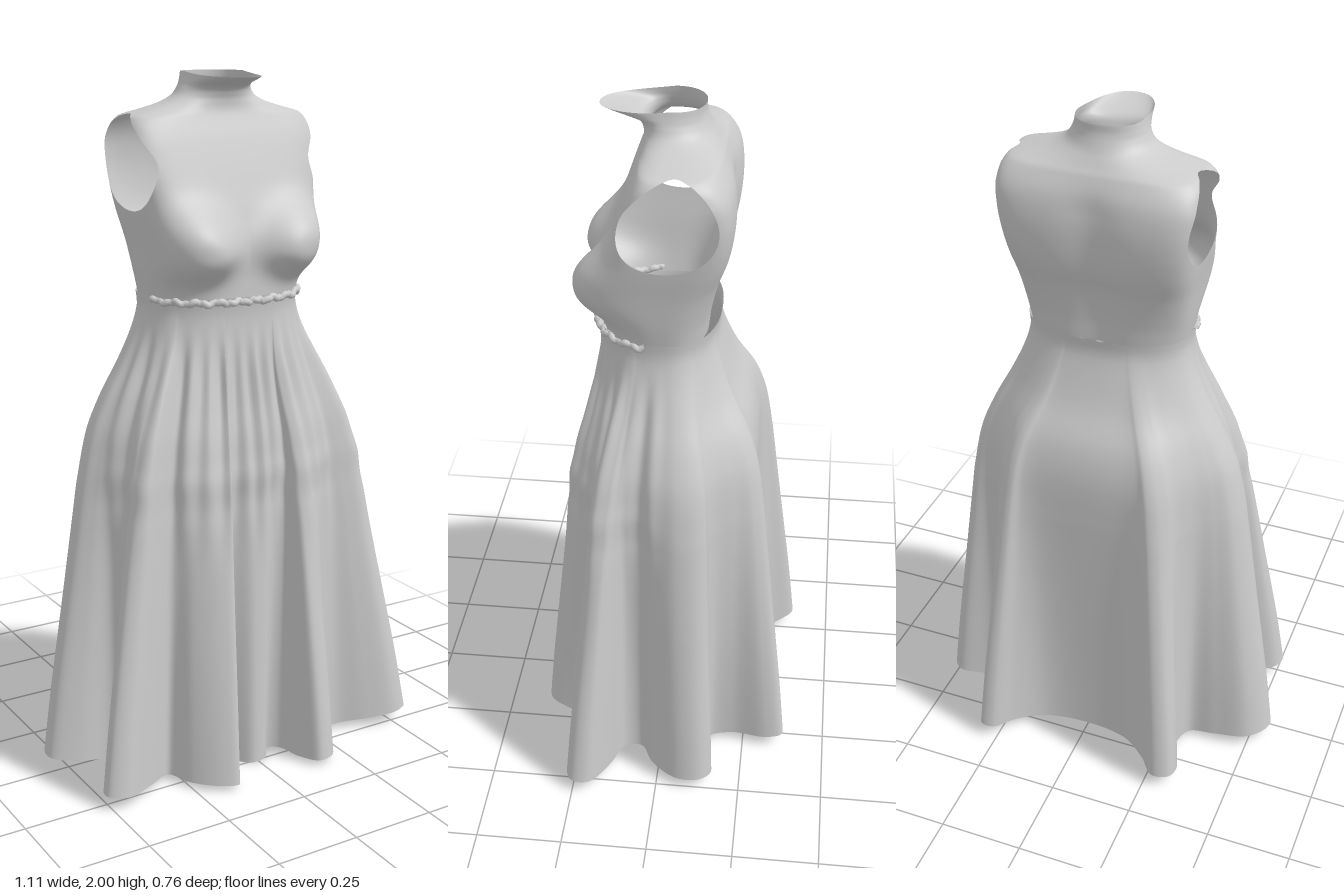
import * as THREE from 'three';

const material = new THREE.MeshStandardMaterial({ color: 0xcccccc, side: THREE.DoubleSide });
const { smoothstep, lerp } = THREE.MathUtils;

// Smooth interpolation through rows of [y, value, value, ...]
function sample(rows, y) {
  const last = rows.length - 1;
  if (y <= rows[0][0]) return rows[0].slice(1);
  if (y >= rows[last][0]) return rows[last].slice(1);
  let i = 0;
  while (y > rows[i + 1][0]) i++;
  const slope = (k, c) => {
    const p = rows[Math.max(k - 1, 0)], q = rows[Math.min(k + 1, last)];
    return (q[c] - p[c]) / (q[0] - p[0]);
  };
  const h = rows[i + 1][0] - rows[i][0], t = (y - rows[i][0]) / h, s = 1 - t;
  return rows[i].slice(1).map((v, k) => {
    const c = k + 1;
    return v * (1 + 2 * t) * s * s + rows[i + 1][c] * t * t * (3 - 2 * t)
      + h * (slope(i, c) * t * s * s - slope(i + 1, c) * t * t * s);
  });
}

// Radius of a rounded section: half width a, front depth f, back depth b, squareness n
function radius(angle, a, f, b, n) {
  const s = Math.abs(Math.sin(angle)) / a, c = Math.cos(angle);
  return (s ** n + (Math.abs(c) / (c > 0 ? f : b)) ** n) ** (-1 / n);
}

// Closed rings joined into a smooth skin; keep() can leave out faces
function skin(name, cols, rows, point, keep = () => true, adjust = (p) => p) {
  const raw = [], index = [];
  for (let j = 0; j <= rows; j++)
    for (let i = 0; i < cols; i++) raw.push(point(i / cols, j / rows));
  const face = (...f) => { if (keep(f.map((k) => raw[k]))) index.push(...f); };
  for (let j = 0; j < rows; j++) {
    for (let i = 0; i < cols; i++) {
      const k = (i + 1) % cols, a = j * cols + i, b = j * cols + k;
      face(a, b, b + cols);
      face(a, b + cols, a + cols);
    }
  }
  const g = new THREE.BufferGeometry().setFromPoints(raw.map((p) => adjust(p.clone())));
  g.setIndex(index);
  g.computeVertexNormals();
  const mesh = new THREE.Mesh(g, material);
  mesh.name = name;
  return mesh;
}

// y, half width, front, back, squareness
const BODY = [
  [1.38, 0.23, 0.19, 0.115, 2.5], [1.45, 0.241, 0.19, 0.122, 2.8], [1.54, 0.252, 0.192, 0.14, 3.6],
  [1.62, 0.264, 0.172, 0.165, 4.6], [1.7, 0.273, 0.146, 0.178, 5.8], [1.77, 0.282, 0.122, 0.18, 6],
  [1.83, 0.285, 0.1, 0.17, 5.5], [1.883, 0.266, 0.078, 0.144, 3.8], [1.9, 0.212, 0.073, 0.131, 2.8],
  [1.916, 0.158, 0.072, 0.12, 2.4], [1.935, 0.123, 0.075, 0.108, 2.1], [1.96, 0.105, 0.092, 0.097, 2],
  [1.98, 0.097, 0.14, 0.091, 2.1], [2, 0.092, 0.19, 0.09, 2.2],
];

function bodyPoint(u, v) {
  const y = 1.38 + 0.62 * (1 - (1 - v) ** 1.5);
  const angle = u * Math.PI * 2, c = Math.cos(angle);
  const r = radius(angle, ...sample(BODY, y));
  const x = r * Math.sin(angle);
  let z = r * c;
  // Rounded bust, fuller below than above
  const dy = (y - 1.525) / (y > 1.525 ? 0.08 : 0.055), dx = (Math.abs(x) - 0.165) / 0.078;
  z += 0.072 * Math.exp(-(((dx * dx + dy * dy) / 2) ** 1.5)) * smoothstep(c, -0.1, 0.45);
  // Hollow along the spine, fading out below the nape
  z += 0.014 * Math.exp(-((x / 0.07) ** 2)) * smoothstep(-c, 0, 0.4) * (1 - smoothstep(y, 1.78, 1.9));
  // Collar dips slightly towards its front lip
  const dip = 0.012 * smoothstep(y, 1.96, 2) * Math.max(0, c);
  return new THREE.Vector3(x, y - dip, z);
}

// Egg-shaped armholes in side elevation, wider at the bottom
const holeCentre = (v) => -0.015 - 0.0156 * v;
const holeWidth = (v) => 0.13 * (1 - 0.2 * v);
function armhole(p) {
  const v = (p.y - 1.76) / 0.13, u = (p.z - holeCentre(v)) / holeWidth(v);
  return { u, v, q: Math.abs(p.x) > 0.14 ? Math.hypot(u, v) : 9 };
}
// Moves points just inside an armhole out to its rim, staying on the body
function trimToArmhole(p) {
  const { u, v, q } = armhole(p);
  if (q < 1 && q > 0.01) {
    const rim = v / q;
    p.y = 1.76 + 0.13 * rim;
    p.z = holeCentre(rim) + (holeWidth(rim) * u) / q;
    const [a, f, b, n] = sample(BODY, p.y);
    const depth = Math.min(1, Math.abs(p.z) / (p.z > 0 ? f : b));
    p.x = Math.sign(p.x) * a * (1 - depth ** n) ** (1 / n);
  }
  return p;
}

// Skirt core: y, half width, front, back
const HIPS = [
  [0.85, 0.37, 0.255, 0.27], [1, 0.355, 0.24, 0.262], [1.1, 0.322, 0.22, 0.236], [1.2, 0.28, 0.206, 0.182],
  [1.3, 0.246, 0.2, 0.148], [1.36, 0.235, 0.2, 0.135], [1.4, 0.238, 0.207, 0.14],
];
// How far each height has opened out into the hem folds
const FLARE = [[0, 1], [0.2, 0.85], [0.5, 0.59], [0.9, 0.25], [1.1, 0.1], [1.22, 0.03], [1.32, 0]];
// Hem outline (x, z), from centre front round the left side
const HEM = [
  [-0.02, 0.26], [0.03, 0.25], [0.06, 0.2], [0.1, 0.22], [0.11, 0.31], [0.14, 0.378], [0.19, 0.37], [0.23, 0.3],
  [0.26, 0.22], [0.32, 0.205], [0.41, 0.245], [0.5, 0.272], [0.55, 0.25], [0.55, 0.2], [0.46, 0.145], [0.37, 0.11],
  [0.36, 0.06], [0.43, 0.02], [0.5, -0.06], [0.505, -0.13], [0.47, -0.165], [0.37, -0.14], [0.3, -0.15],
  [0.285, -0.22], [0.31, -0.32], [0.3, -0.37], [0.26, -0.37], [0.21, -0.3], [0.13, -0.235], [0, -0.215],
  [-0.13, -0.235], [-0.22, -0.31], [-0.28, -0.382], [-0.33, -0.37], [-0.34, -0.32], [-0.3, -0.22], [-0.32, -0.14],
  [-0.4, -0.13], [-0.5, -0.115], [-0.55, -0.06], [-0.55, -0.01], [-0.48, 0.03], [-0.38, 0.05], [-0.36, 0.1],
  [-0.4, 0.17], [-0.5, 0.23], [-0.51, 0.28], [-0.46, 0.305], [-0.36, 0.255], [-0.28, 0.21], [-0.25, 0.29],
  [-0.19, 0.355], [-0.14, 0.375], [-0.12, 0.32], [-0.12, 0.23], [-0.08, 0.2],
];
const hemCurve = new THREE.CatmullRomCurve3(HEM.map(([x, z]) => new THREE.Vector3(x, 0, z)), true);

// Direction of each hem point, averaged with its neighbours so the hips stay smooth
function hipAngle(u) {
  const sum = new THREE.Vector3();
  for (let k = -6; k <= 6; k++) sum.add(hemCurve.getPoint((u + k * 0.004 + 1) % 1).normalize());
  return Math.atan2(sum.x, sum.z);
}

function skirtPoint(u, v) {
  const hem = hemCurve.getPoint(u);
  const angle = hipAngle(u), c = Math.cos(angle);
  const low = 0.005 + 0.12 * Math.max(0, hem.length() - 0.25) + Math.max(0, -0.05 * hem.z);
  const y = low + (1.4 - low) * v;
  // Narrow gathers over the front, pinched at a seam
  const front = smoothstep(c, -0.15, 0.3);
  const gather = smoothstep(y, 0.6, 0.9) * (1 - smoothstep(y, 1.15, 1.33));
  const wave = Math.sin(angle * 30) + 0.5 * Math.sin(angle * 17 + 1);
  const seam = Math.exp(-(((y - 0.9) / 0.035) ** 2)) - 0.7 * Math.exp(-(((y - 0.83) / 0.04) ** 2));
  const r = radius(angle, ...sample(HIPS, y), 2.3) + front * (0.009 * gather * wave + 0.006 * seam);
  const t = sample(FLARE, y - low)[0];
  return new THREE.Vector3(lerp(r * Math.sin(angle), hem.x, t), y, lerp(r * c, hem.z, t));
}

// Crinkled gathering along the front of the waistband
function waistRuffle() {
  const pts = [];
  for (let i = 0; i <= 90; i++) {
    const angle = -1.35 + (2.7 * i) / 90;
    const r = radius(angle, 0.236, 0.207, 0.14, 2.3) + 0.003 * Math.sin(i * 1.1);
    const y = 1.388 + 0.003 * Math.sin(i * 0.7) + 0.002 * Math.sin(i * 1.7);
    pts.push(new THREE.Vector3(r * Math.sin(angle), y, r * Math.cos(angle)));
  }
  const mesh = new THREE.Mesh(new THREE.TubeGeometry(new THREE.CatmullRomCurve3(pts), 270, 0.01, 8), material);
  mesh.name = 'waistRuffle';
  return mesh;
}

export function createModel() {
  const group = new THREE.Group();
  group.name = 'dressForm';
  const keep = (corners) => corners.some((p) => armhole(p).q >= 1);
  group.add(
    skin('torso', 240, 130, bodyPoint, keep, trimToArmhole),
    skin('skirt', 400, 70, skirtPoint),
    waistRuffle(),
  );
  return group;
}
